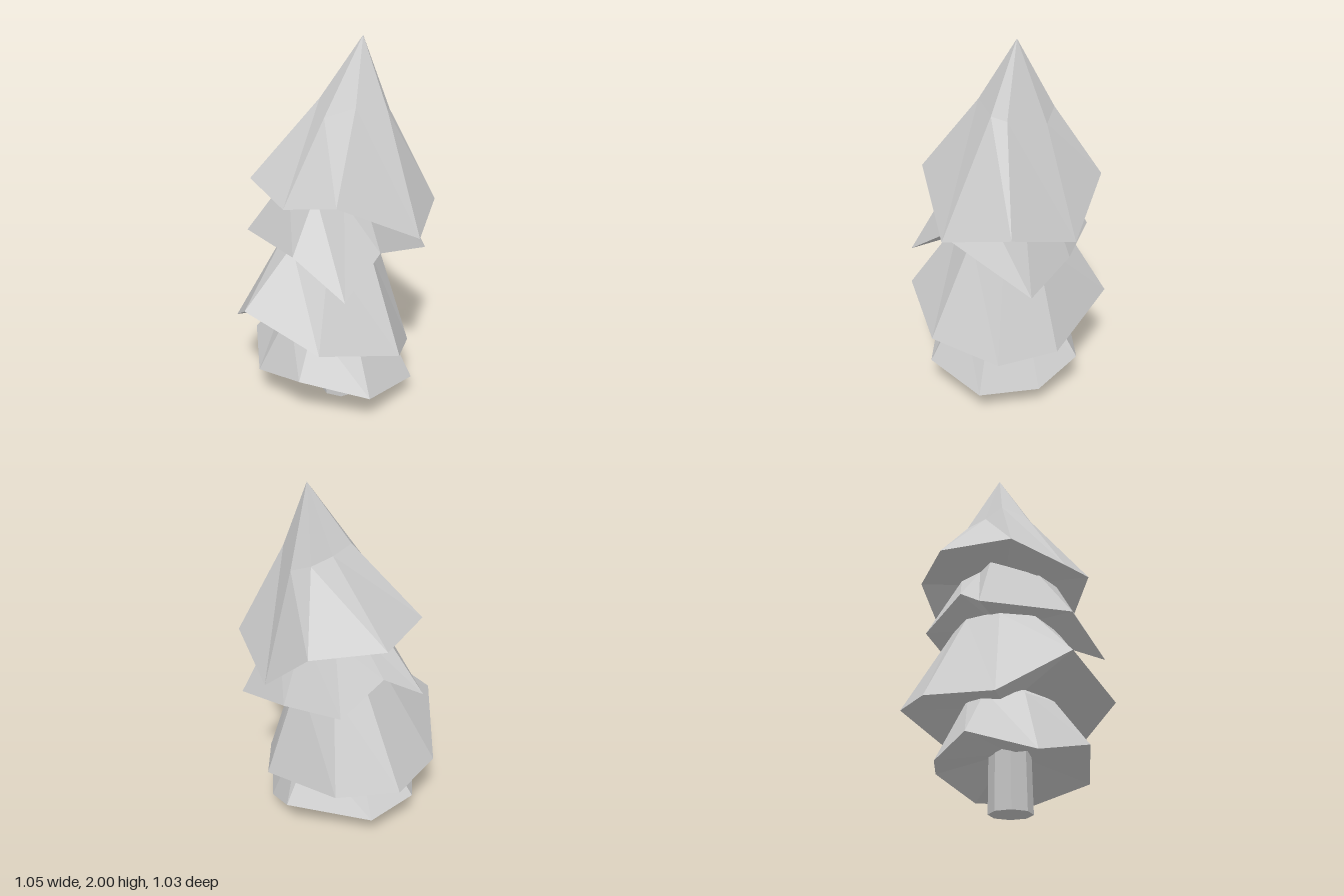
import * as THREE from 'three';

const material = new THREE.MeshStandardMaterial({ color: 0xcccccc, flatShading: true, side: THREE.DoubleSide });

// Flat-shaded solid from a lower centre, a stack of equal rings and an upper tip.
function loft(name, bottom, rings, tip) {
  const pos = [];
  const tri = (a, b, c) => pos.push(...a, ...b, ...c);
  const n = rings[0].length;
  for (let i = 0; i < n; i++) {
    const j = (i + 1) % n;
    tri(bottom, rings[0][i], rings[0][j]);
    for (let r = 0; r + 1 < rings.length; r++) {
      const lo = rings[r], hi = rings[r + 1];
      tri(hi[i], hi[j], lo[i]);
      tri(hi[j], lo[j], lo[i]);
    }
    const last = rings[rings.length - 1];
    tri(tip, last[j], last[i]);
  }
  const geometry = new THREE.BufferGeometry();
  geometry.setAttribute('position', new THREE.Float32BufferAttribute(pos, 3));
  geometry.computeVertexNormals();
  const mesh = new THREE.Mesh(geometry, material);
  mesh.name = name;
  return mesh;
}

// Shrink a rim toward the axis at (cx, cz) and lay it flat at height y.
const shrink = (rim, cx, cz, k, y) =>
  rim.map(([x, , z]) => [cx + (x - cx) * k, y, cz + (z - cz) * k]);

export function createModel() {
  const tree = new THREE.Group();
  tree.name = 'tree';

  // Leaning trunk
  const trunkRing = (cx, cz, y, r) => Array.from({ length: 8 }, (_, i) => {
    const a = (i + 0.4) / 8 * Math.PI * 2;
    return [cx + r * Math.cos(a), y, cz + r * Math.sin(a)];
  });
  tree.add(loft('trunk', [0.038, 0, 0.04],
    [trunkRing(0.038, 0.04, 0, 0.113), trunkRing(-0.005, 0.02, 0.42, 0.105)], [-0.005, 0.42, 0.02]));

  // Lowest branch tier
  const lowRim = [
    [-0.344, 0.27, -0.316], [-0.105, 0.19, -0.393], [0.34, 0.255, -0.265], [0.398, 0.135, -0.03],
    [0.36, 0.142, 0.29], [0.04, 0.19, 0.47], [-0.3, 0.285, 0.325], [-0.425, 0.195, 0.01],
  ];
  tree.add(loft('lowestTier', [0, 0.3, 0.02],
    [lowRim, shrink(lowRim, 0, 0.02, 0.58, 0.53)], [0, 0.7, 0]));

  // Wide lower tier
  const wideRim = [
    [-0.23, 0.46, -0.49], [0.113, 0.497, -0.518], [0.423, 0.378, -0.12], [0.377, 0.323, 0.19],
    [0.19, 0.44, 0.493], [-0.25, 0.535, 0.497], [-0.53, 0.66, 0.15], [-0.48, 0.43, -0.217],
  ];
  tree.add(loft('wideTier', [0, 0.54, 0],
    [wideRim, shrink(wideRim, 0.04, 0, 0.5, 0.95)], [0.04, 1.1, 0]));

  // Spiky upper tier
  const spikyRim = [
    [-0.387, 0.915, -0.27], [-0.17, 1.05, -0.3], [0.068, 0.915, -0.413], [0.33, 0.885, -0.21],
    [0.524, 0.807, 0.063], [0.11, 1.0, 0.4], [-0.12, 0.82, 0.513], [-0.3, 0.98, 0.255],
  ];
  tree.add(loft('spikyTier', [0.05, 1.0, 0],
    [spikyRim, shrink(spikyRim, 0.06, 0, 0.55, 1.25)], [0.08, 1.42, 0]));

  // Pointed crown with a bend partway up
  const crownRim = [
    [-0.162, 1.285, -0.41], [0.225, 1.28, -0.411], [0.42, 1.02, -0.205], [0.516, 1.14, 0.163],
    [0.3, 1.07, 0.448], [-0.135, 1.29, 0.43], [-0.33, 1.225, 0.21], [-0.403, 1.28, -0.11],
  ];
  const crownBend = [
    [0.053, 1.66, -0.1], [0.17, 1.65, -0.17], [0.26, 1.6, -0.1], [0.27, 1.64, 0.103],
    [0.228, 1.66, 0.17], [0.058, 1.69, 0.18], [-0.076, 1.63, 0.1], [-0.048, 1.69, -0.037],
  ];
  tree.add(loft('crown', [0.06, 1.26, 0.01], [crownRim, crownBend], [0.157, 2, 0.018]));

  return tree;
}
